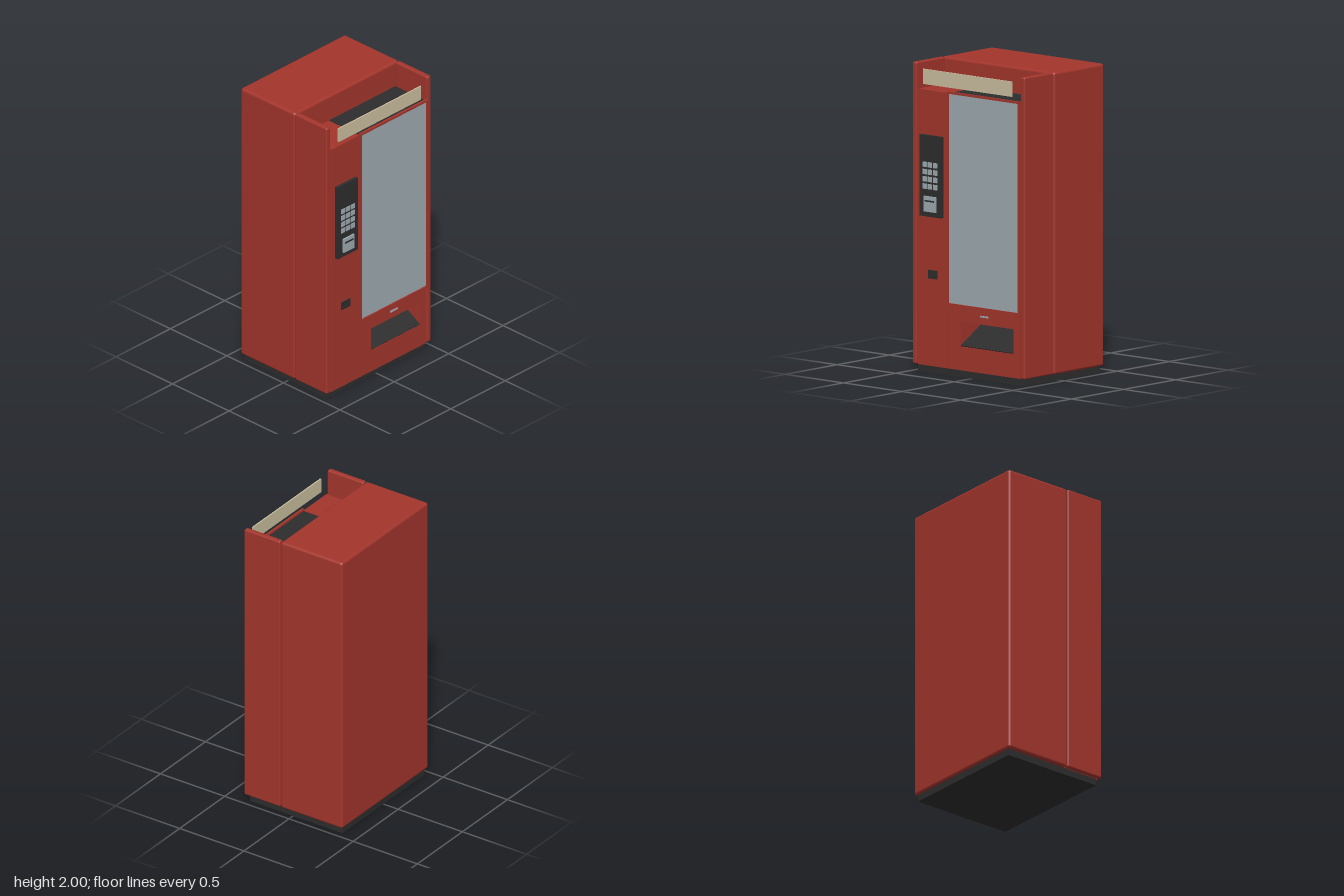
import * as THREE from 'three';
import { RoundedBoxGeometry } from 'three/addons/geometries/RoundedBoxGeometry.js';

const paint = (name, color) => new THREE.MeshStandardMaterial({ name, color });

export function createModel() {
  const red = paint('red enamel', 0xa3352c);
  const dark = paint('charcoal', 0x2d2d2d);
  const glass = paint('pale glass', 0x9eaab0);
  const cream = paint('cream sign', 0xcbbf9f);

  const model = new THREE.Group();
  model.name = 'vendingMachine';

  const add = (name, geometry, material) => {
    const mesh = new THREE.Mesh(geometry, material);
    mesh.name = name;
    model.add(mesh);
    return mesh;
  };
  // Box given by its limits on each axis, with optional rounded edges
  const box = (name, material, [x0, x1], [y0, y1], [z0, z1], r = 0) => {
    const size = [x1 - x0, y1 - y0, z1 - z0];
    const geometry = r ? new RoundedBoxGeometry(...size, 3, r) : new THREE.BoxGeometry(...size);
    geometry.translate((x0 + x1) / 2, (y0 + y1) / 2, (z0 + z1) / 2);
    return add(name, geometry, material);
  };
  const rectangle = (path, [x0, x1], [y0, y1]) =>
    path.moveTo(x0, y0).lineTo(x1, y0).lineTo(x1, y1).lineTo(x0, y1).closePath();
  // Rectangular slab with a rectangular opening through it
  const framed = (name, material, xs, ys, holeX, holeY, [z0, z1]) => {
    const shape = rectangle(new THREE.Shape(), xs, ys);
    shape.holes.push(rectangle(new THREE.Path(), holeX, holeY));
    const geometry = new THREE.ExtrudeGeometry(shape, { depth: z1 - z0, bevelEnabled: false });
    geometry.translate(0, 0, z0);
    return add(name, geometry, material);
  };

  // Plinth, rear cabinet and the two side walls, open at the top front
  box('plinth', dark, [-0.455, 0.455], [0, 0.045], [-0.385, 0.335]);
  box('rearCabinet', red, [-0.48, 0.48], [0.045, 2], [-0.4, 0.081], 0.018);
  for (const side of [-1, 1]) {
    const xs = side < 0 ? [-0.48, -0.443] : [0.443, 0.48];
    box(side < 0 ? 'rightSideWall' : 'leftSideWall', red, xs, [0.05, 2], [0.084, 0.364], 0.01);
  }

  // Control column and display cabinet
  box('controlColumn', red, [-0.434, -0.176], [0.05, 1.83], [0.09, 0.362]);
  box('displayCabinet', dark, [-0.172, 0.436], [0.46, 1.83], [0.09, 0.358]);
  box('displayGlass', glass, [-0.165, 0.43], [0.475, 1.828], [0.358, 0.365]);
  framed('displayFrame', red, [-0.18, 0.444], [0.462, 1.842], [-0.165, 0.43], [0.475, 1.828], [0.357, 0.374]);

  // Lower door with a sloping chute behind the opening
  framed('lowerDoor', red, [-0.17, 0.434], [0.05, 0.46], [-0.07, 0.382], [0.205, 0.365], [0.09, 0.362]);
  const rise = 0.156, run = 0.266;
  const chute = box('deliveryChute', dark, [-0.07, 0.382], [-0.003, 0.003], [-Math.hypot(rise, run) / 2, Math.hypot(rise, run) / 2]);
  chute.position.set(0, 0.285, 0.226);
  chute.rotation.x = Math.atan2(rise, run);
  box('doorLatch', glass, [0.103, 0.17], [0.412, 0.422], [0.362, 0.369]);

  // Sign across the top
  box('topSign', cream, [-0.38, 0.378], [1.868, 1.966], [0.365, 0.374]);

  // Payment panel with keypad, coin unit and coin return
  box('paymentPanel', dark, [-0.4, -0.214], [1.017, 1.542], [0.362, 0.384]);
  for (let row = 0; row < 4; row++) {
    for (let col = 0; col < 3; col++) {
      const x = -0.37 + col * 0.044;
      const y = 1.195 + row * 0.047;
      box('key', glass, [x, x + 0.035], [y, y + 0.034], [0.384, 0.388]);
    }
  }
  box('coinUnit', glass, [-0.355, -0.256], [1.05, 1.15], [0.384, 0.395]);
  box('coinSlot', dark, [-0.345, -0.267], [1.115, 1.125], [0.395, 0.398]);
  box('coinReturn', dark, [-0.345, -0.265], [0.615, 0.67], [0.362, 0.366]);

  return model;
}
